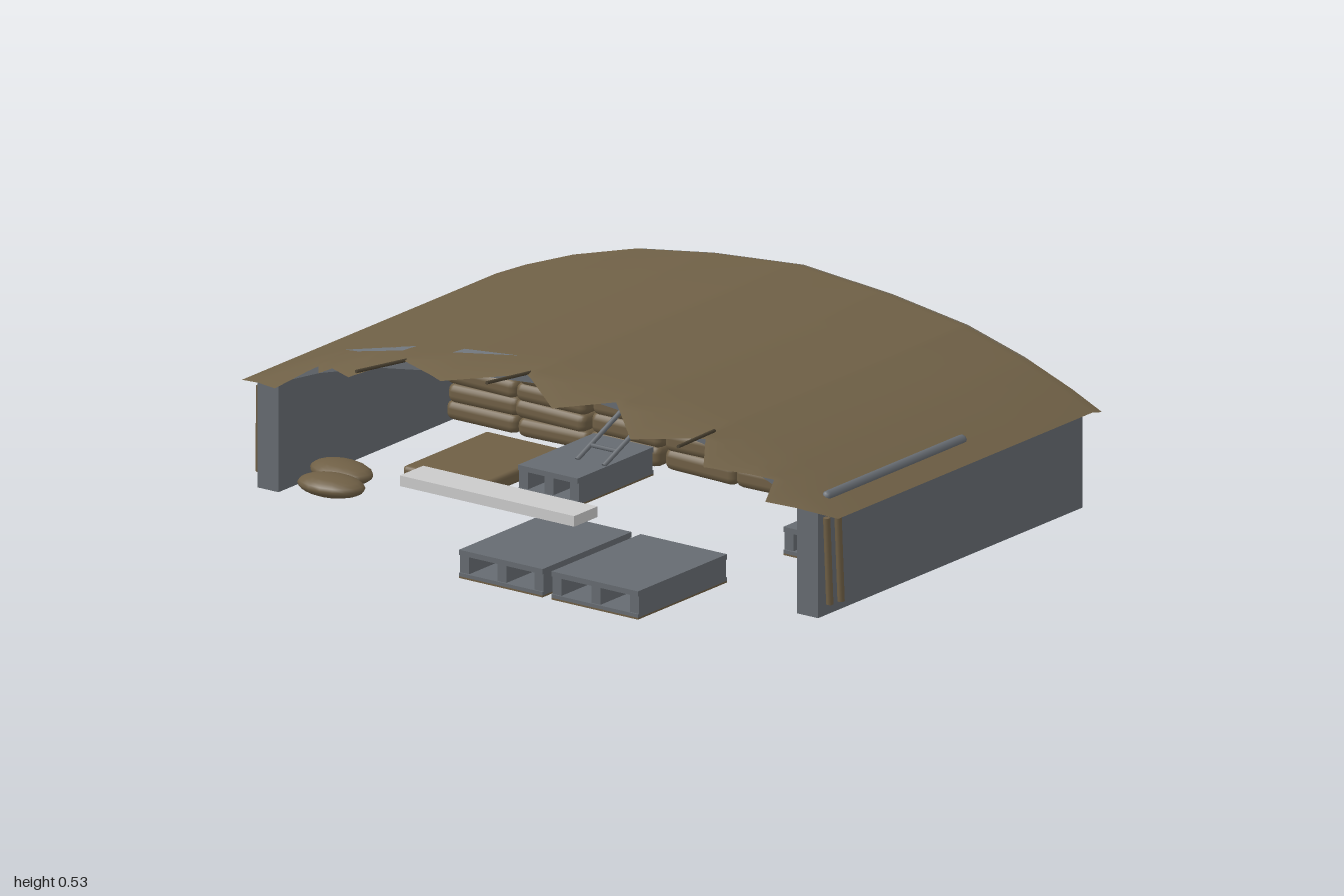
import * as THREE from 'three';
import { RoundedBoxGeometry } from 'three/addons/geometries/RoundedBoxGeometry.js';

const material = (name, color, side = THREE.FrontSide) => {
  const m = new THREE.MeshStandardMaterial({ color, side });
  m.name = name;
  return m;
};

// piecewise linear interpolation through [x, value] points
const lerpTable = (table, x) => {
  for (let i = 1; i < table.length; i++) {
    const [x0, v0] = table[i - 1], [x1, v1] = table[i];
    if (x <= x1) return v0 + (v1 - v0) * (x - x0) / (x1 - x0);
  }
  return table[table.length - 1][1];
};

// roof arch, half profile, and the ragged front hem of the cover
const ARCH = [[0, 0.51], [0.3, 0.485], [0.55, 0.448], [0.74, 0.395], [0.9, 0.335], [1, 0.29]];
const HEM = [[-1, 0.44], [-0.8, 0.56], [-0.72, 0.47], [-0.69, 0.51], [-0.66, 0.49], [-0.56, 0.55],
  [-0.45, 0.455], [-0.26, 0.54], [-0.03, 0.46], [0.13, 0.56], [0.27, 0.46], [0.4, 0.57],
  [0.57, 0.46], [0.63, 0.55], [0.8, 0.46], [0.83, 0.54], [1, 0.44]];
const archY = x => lerpTable(ARCH, Math.abs(x));

export function createModel() {
  const model = new THREE.Group();
  const concrete = material('concrete grey', 0x666b71);
  const concreteThin = material('torn opening grey', 0x70767c, THREE.DoubleSide);
  const cloth = material('cover brown', 0x6f6046, THREE.DoubleSide);
  const sack = material('sack brown', 0x6f5f45);
  const palletGrey = material('pallet grey', 0x666b71);
  const pale = material('pale grey', 0xcacaca);
  const darkWood = material('dark wood', 0x4a4131);

  const add = (name, geo, mat, x = 0, y = 0, z = 0, parent = model) => {
    const m = new THREE.Mesh(geo, mat);
    m.name = name;
    m.position.set(x, y, z);
    parent.add(m);
    return m;
  };
  const box = (name, mat, x0, x1, y0, y1, z0, z1, parent = model) =>
    add(name, new THREE.BoxGeometry(x1 - x0, y1 - y0, z1 - z0), mat,
      (x0 + x1) / 2, (y0 + y1) / 2, (z0 + z1) / 2, parent);
  const rod = (name, mat, a, b, r) => {
    const p = new THREE.Vector3(...a), q = new THREE.Vector3(...b);
    const m = add(name, new THREE.CylinderGeometry(r, r, p.distanceTo(q), 6), mat);
    m.position.copy(p).lerp(q, 0.5);
    m.quaternion.setFromUnitVectors(new THREE.Vector3(0, 1, 0), q.sub(p).normalize());
    return m;
  };

  // walls
  for (const s of [-1, 1]) {
    const wall = box('sideWall', concrete, -0.035, 0.035, 0, 0.31, -0.735, 0.45);
    wall.position.x = s * 0.905;
  }
  const archXs = [-0.94, -0.74, -0.55, -0.3, 0, 0.3, 0.55, 0.74, 0.94];
  const outer = archXs.map(x => new THREE.Vector2(x, archY(x) - 0.008));
  const gable = new THREE.Shape([new THREE.Vector2(0.94, 0), ...outer.slice().reverse(), new THREE.Vector2(-0.94, 0)]);
  add('backWall', new THREE.ExtrudeGeometry(gable, { depth: 0.065, bevelEnabled: false }), concrete, 0, 0, -0.738);

  // arched roof slab
  const inner = archXs.map(x => new THREE.Vector2(x, archY(x) - 0.035)).reverse();
  add('roofSlab', new THREE.ExtrudeGeometry(new THREE.Shape([...outer, ...inner]),
    { depth: 1.17, bevelEnabled: false }), concrete, 0, 0, -0.73);

  // draped cover with a ragged front hem
  const xs = [...new Set([...HEM.map(p => p[0]), ...ARCH.flatMap(p => [p[0], -p[0]])].map(v => v + 0))]
    .sort((a, b) => a - b);
  const rows = [-0.745, -0.7, -0.4, 0, 0.3, 0.44, null];
  const pos = [], idx = [];
  rows.forEach((row, j) => xs.forEach((x, i) => {
    const z = row === null ? lerpTable(HEM, x) : row;
    const droop = z > 0.44 ? (z - 0.44) * 0.3 : j === 0 ? 0.01 : 0;
    pos.push(x, archY(x) - droop, z);
    if (j && i) {
      const d = j * xs.length + i, c = d - 1, b = d - xs.length, a = b - 1;
      idx.push(a, c, b, b, c, d);
    }
  }));
  const cover = new THREE.BufferGeometry();
  cover.setAttribute('position', new THREE.Float32BufferAttribute(pos, 3));
  cover.setIndex(idx);
  cover.computeVertexNormals();
  add('roofCover', cover, cloth);

  // tears in the cover, laid just above the cloth
  const tears = [[[-0.72, 0.35], [-0.65, 0.39], [-0.49, 0.4], [-0.48, 0.35]],
    [[-0.32, 0.35], [-0.33, 0.39], [-0.14, 0.35]]];
  for (const t of tears) {
    const g = new THREE.ShapeGeometry(new THREE.Shape(t.map(p => new THREE.Vector2(...p))));
    const p = g.attributes.position;
    for (let i = 0; i < p.count; i++) p.setXYZ(i, p.getX(i), archY(p.getX(i)) + 0.006, p.getY(i));
    g.computeVertexNormals();
    add('coverTear', g, concreteThin);
  }
  const slot = add('coverSlot', new THREE.CapsuleGeometry(0.015, 0.6, 4, 8), concrete, 0.92, 0.324, 0.08);
  slot.rotation.set(Math.PI / 2, 0, 0);

  // support rods poking out at both ends
  for (const [x0, x1, y0, y1, z1, xb] of [[-0.44, -0.46, 0.455, 0.475, 0.65, -0.51],
    [-0.03, -0.03, 0.5, 0.525, 0.64, 0.01], [0.57, 0.62, 0.45, 0.475, 0.65, 0.53]]) {
    rod('frontRod', darkWood, [x0, y0, 0.42], [x1, y1, z1], 0.005);
    rod('backRod', darkWood, [xb, archY(xb) - 0.03, -0.7], [xb, archY(xb) - 0.03, -0.75], 0.009);
  }

  // upright battens beside the entrance
  for (const s of [-1, 1]) for (const [z, x] of [[0.42, 0.957], [0.38, 0.965]]) {
    rod('sideBatten', sack, [s * x, 0.035, z], [s * (x - 0.006), 0.28, z + 0.006], 0.01);
  }

  // stacks of filled sacks along the back wall
  const stacks = [[-0.755, 0.21], [-0.52, 0.205], [-0.27, 0.232], [-0.025, 0.23],
    [0.215, 0.235], [0.46, 0.235], [0.72, 0.235]];
  stacks.forEach(([x, h], i) => {
    const stack = new THREE.Group();
    stack.name = 'sackStack';
    model.add(stack);
    const layer = (h - 0.01) / 4;
    for (let k = 0; k < 4; k++) {
      const bag = add('sack', new RoundedBoxGeometry(0.24, layer + 0.006, 0.32, 2, 0.022), sack,
        x + 0.006 * Math.sin(i * 2.3 + k * 1.9), 0.01 + layer * (k + 0.5), -0.46, stack);
      bag.rotation.z = 0.02 * Math.sin(i * 1.7 + k * 2.4);
    }
  });

  // loose sacks on the ground
  add('flatSack', new RoundedBoxGeometry(0.27, 0.04, 0.38, 2, 0.012), sack, -0.53, 0.022, -0.02);
  for (const [x, y, z, r] of [[-0.73, 0.035, 0.4, 0.1], [-0.77, 0.04, 0.3, -0.1]]) {
    const bag = add('looseSack', new THREE.SphereGeometry(1, 16, 10), sack, x, y, z);
    bag.scale.set(0.1, 0.03, 0.065);
    bag.rotation.y = r;
  }

  // pallets: deck, three runners, and a brown underside
  for (const [x, z, w, d] of [[0.1, 0.55, 0.28, 0.4], [0.415, 0.55, 0.29, 0.4],
    [0.665, -0.1, 0.25, 0.34], [-0.25, -0.1, 0.2, 0.34]]) {
    const pallet = new THREE.Group();
    pallet.name = 'pallet';
    pallet.position.set(x, 0, z);
    model.add(pallet);
    box('deck', palletGrey, -w / 2, w / 2, 0.065, 0.08, -d / 2, d / 2, pallet);
    for (const rx of [-w / 2 + 0.015, 0, w / 2 - 0.015])
      box('runner', palletGrey, rx - 0.015, rx + 0.015, 0.012, 0.066, -d / 2 + 0.005, d / 2 - 0.005, pallet);
    box('baseBoard', palletGrey, -w / 2, w / 2, 0.005, 0.015, -d / 2, d / 2, pallet);
    box('underside', sack, -w / 2, w / 2, 0, 0.005, -d / 2, d / 2, pallet);
  }

  // leaning frame on the small inner pallet
  for (const x of [-0.25, -0.16]) rod('leaningPole', palletGrey, [x, 0.08, -0.06], [x + 0.03, 0.19, -0.24], 0.007);
  rod('poleRung', palletGrey, [-0.24, 0.11, -0.11], [-0.15, 0.11, -0.11], 0.006);

  // pale beam in front of the entrance
  box('paleBeam', pale, -0.295, 0.29, 0.19, 0.22, 0.57, 0.675);

  return model;
}
